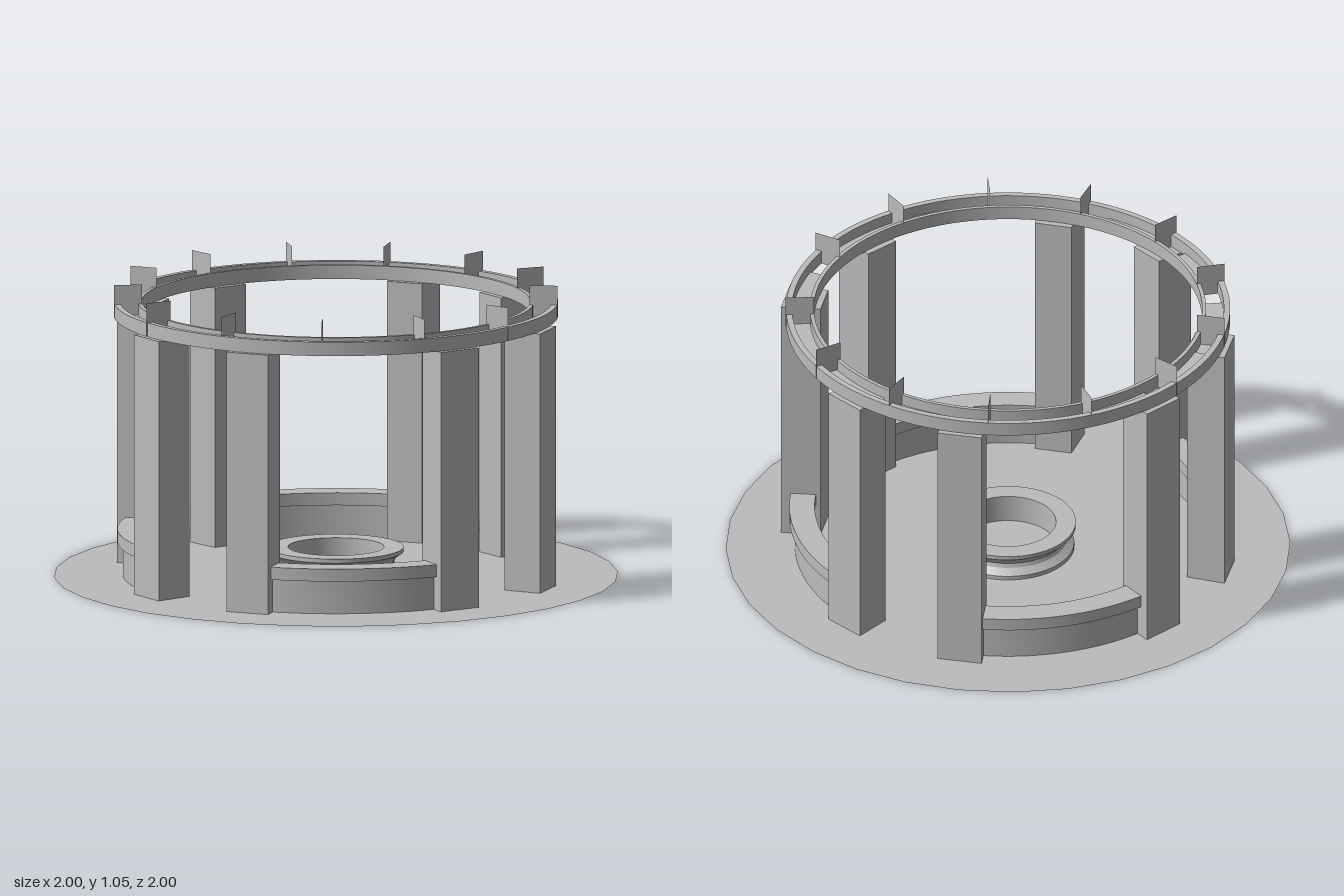
import * as THREE from 'three';
import { toCreasedNormals } from 'three/addons/utils/BufferGeometryUtils.js';

export function createModel() {
  const model = new THREE.Group();
  const grey = new THREE.MeshStandardMaterial({ color: 0xbcbcbc });
  grey.name = 'grey';
  const greySheet = new THREE.MeshStandardMaterial({ color: 0xbcbcbc, side: THREE.DoubleSide });
  greySheet.name = 'grey sheet';

  // Bearings are degrees clockwise from the back, seen from above
  const turn = (bearing) => THREE.MathUtils.degToRad(180 - bearing);

  function add(name, geometry, material = grey, bearing = 180) {
    const mesh = new THREE.Mesh(geometry, material);
    mesh.name = name;
    mesh.rotation.y = turn(bearing);
    model.add(mesh);
    return mesh;
  }

  // Revolved solid between two bearings, with crisp profile edges
  function revolve(profile, from = 0, to = 360, segments = 64) {
    const points = profile.map(([r, y]) => new THREE.Vector2(r, y));
    const lathe = new THREE.LatheGeometry(points, segments, turn(to), THREE.MathUtils.degToRad(to - from));
    return toCreasedNormals(lathe, 0.5);
  }
  const band = (r0, r1, y0, y1) => [[r0, y0], [r1, y0], [r1, y1], [r0, y1], [r0, y0]];

  // Ground disc
  const disc = new THREE.CircleGeometry(1, 32);
  disc.rotateX(-Math.PI / 2);
  add('groundDisc', disc, greySheet);

  // Central spool-shaped basin, open in the middle
  add('centralBasin', revolve([
    [0.235, 0], [0.235, 0.015], [0.21, 0.035], [0.205, 0.05], [0.215, 0.068],
    [0.24, 0.085], [0.24, 0.1], [0.17, 0.1], [0.17, 0]
  ]));

  // Eight wedge-shaped columns standing in pairs around four doorways
  const columnBearings = [14.3, 69.8, 103.6, 159.5, 195.4, 251.4, 285, 340.4];
  const column = new THREE.BoxGeometry(0.16, 0.935, 0.14);
  const p = column.attributes.position;
  for (let i = 0; i < p.count; i++) if (p.getZ(i) < 0) p.setX(i, p.getX(i) * 0.83);
  column.translate(0, 0.4675, 0.735);
  column.computeVertexNormals();
  columnBearings.forEach((b) => add('column', column, grey, b));

  // Curved benches closing the wide gaps
  for (let i = 0; i < 8; i += 2) {
    const [from, to] = [columnBearings[i], columnBearings[i + 1]];
    add('benchBase', revolve(band(0.70, 0.755, 0, 0.12), from, to, 16));
    add('benchSeat', revolve(band(0.685, 0.775, 0.12, 0.165), from, to, 16));
  }

  // Two concentric hoops on top of the columns
  add('outerHoop', revolve(band(0.765, 0.787, 0.935, 0.985), 0, 360, 96));
  add('innerHoop', revolve(band(0.688, 0.702, 0.935, 0.985), 0, 360, 96));

  // Thirteen radial fins, each followed by a slot and a floor strip between the hoops
  const fin = new THREE.PlaneGeometry(0.1, 0.12);
  fin.rotateY(Math.PI / 2);
  fin.translate(0, 0.995, 0.739);
  for (let i = 0; i < 13; i++) {
    const bearing = 177.8 + 27.2 * i;
    add('fin', fin, greySheet, bearing);
    add('hoopFloor', revolve([[0.702, 0.945], [0.765, 0.945]], bearing + 6, bearing + 27.2, 8), greySheet);
  }

  return model;
}
